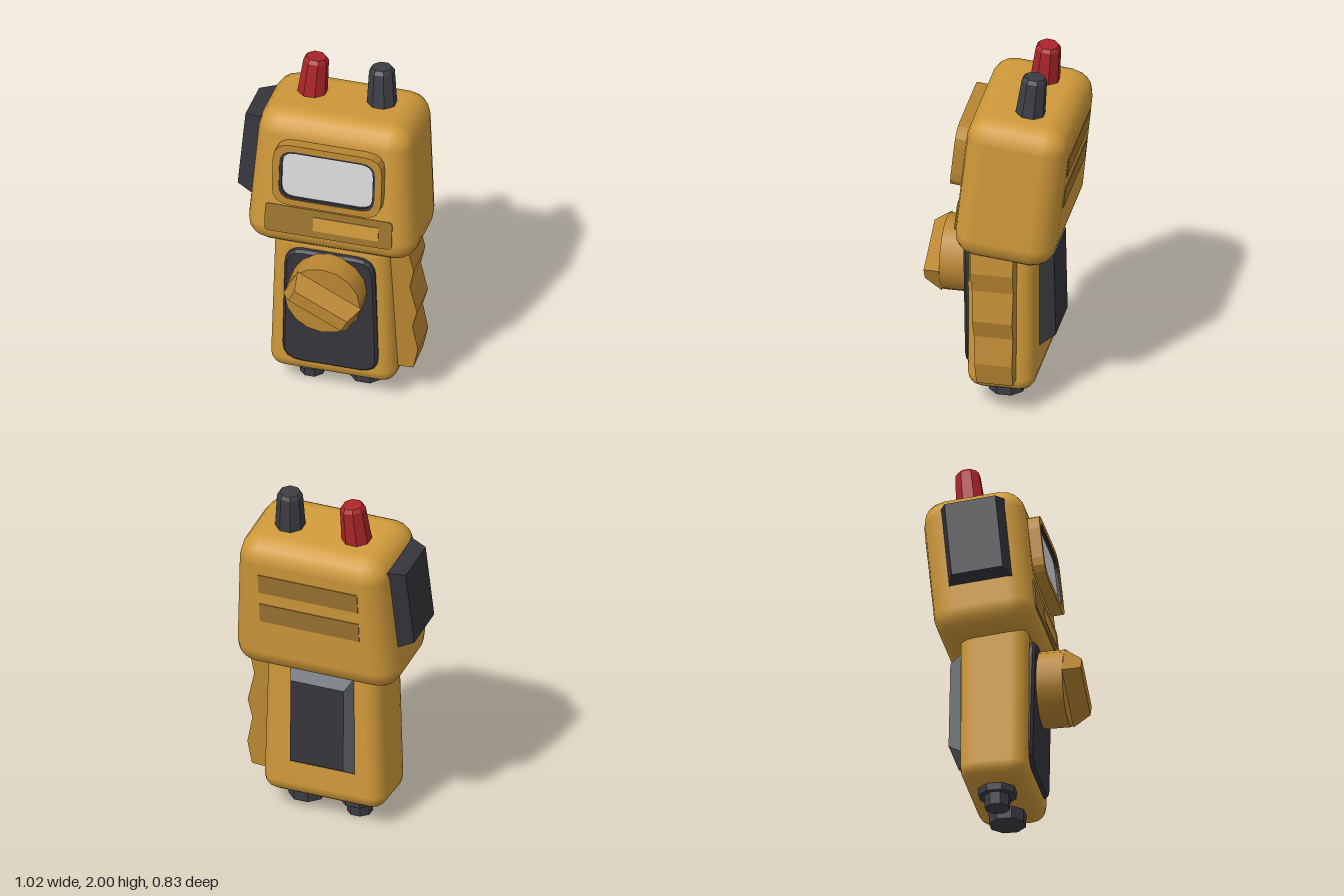
import * as THREE from 'three';
import { RoundedBoxGeometry } from 'three/addons/geometries/RoundedBoxGeometry.js';

const mat = (name, color) => Object.assign(new THREE.MeshStandardMaterial({ color }), { name });

// Move every vertex of a geometry by a rule
function reshape(geo, rule) {
  const p = geo.attributes.position;
  const v = new THREE.Vector3();
  for (let i = 0; i < p.count; i++) {
    rule(v.fromBufferAttribute(p, i));
    p.setXYZ(i, v.x, v.y, v.z);
  }
  return geo;
}

// Block from z = 0 to z = d whose front face shrinks to w2 x h2
function frustum(w, h, d, w2, h2) {
  const geo = new THREE.BoxGeometry(w, h, d).translate(0, 0, d / 2);
  reshape(geo, v => { if (v.z > d / 2) { v.x *= w2 / w; v.y *= h2 / h; } });
  const flat = geo.toNonIndexed();
  flat.computeVertexNormals();
  for (let i = 0; i < 6; i++) flat.addGroup(i * 6, 6, i === 4 ? 1 : 0);
  return flat;
}

function roundRect(w, h, r, Type = THREE.Shape) {
  const s = new Type(), x = w / 2, y = h / 2;
  s.moveTo(-x + r, -y);
  s.lineTo(x - r, -y); s.quadraticCurveTo(x, -y, x, -y + r);
  s.lineTo(x, y - r); s.quadraticCurveTo(x, y, x - r, y);
  s.lineTo(-x + r, y); s.quadraticCurveTo(-x, y, -x, y - r);
  s.lineTo(-x, -y + r); s.quadraticCurveTo(-x, -y, -x + r, -y);
  return s;
}

function slab(shape, depth, bevel = 0, holes = []) {
  shape.holes = holes;
  return new THREE.ExtrudeGeometry(shape, {
    depth, curveSegments: 4, bevelEnabled: bevel > 0,
    bevelSize: bevel, bevelThickness: bevel, bevelSegments: 1,
  });
}

export function createModel() {
  const amber = mat('amber', 0xd09a3a);
  const trim = mat('darkAmber', 0xba8732);
  const brown = mat('brown', 0x9c742f);
  const charcoal = mat('charcoal', 0x3d3e44);
  const black = mat('black', 0x35353b);
  const grey = mat('grey', 0x686f72);
  const red = mat('red', 0xab2529);
  const glass = mat('screenGrey', 0xd8d8d8);
  for (const m of [charcoal, red]) m.flatShading = true;

  const model = new THREE.Group();
  const add = (parent, name, geo, material, x = 0, y = 0, z = 0) => {
    const mesh = new THREE.Mesh(geo, material);
    mesh.name = name;
    mesh.position.set(x, y, z);
    parent.add(mesh);
    return mesh;
  };

  // Handle body, slightly wider at the foot
  const bodyGeo = new RoundedBoxGeometry(0.685, 0.94, 0.375, 2, 0.085);
  add(model, 'body', reshape(bodyGeo, v => { v.x *= 1 - 0.09 * v.y; }), amber, 0.03, 0.58, -0.03);

  // Dark panel on the front of the handle
  const panelGeo = slab(roundRect(0.49, 0.73, 0.09), 0.03, 0.015);
  reshape(panelGeo, v => { v.x *= 1 - 0.1 * v.y; });
  panelGeo.computeVertexNormals();
  add(model, 'frontPanel', panelGeo, black, 0.03, 0.58, 0.138).rotation.x = 0.02;

  // Rotary knob with a tapered finger bar
  const knob = new THREE.Group();
  knob.name = 'knob';
  knob.position.set(0.03, 0.755, 0.18);
  model.add(knob);
  add(knob, 'knobBase', new THREE.CylinderGeometry(0.21, 0.21, 0.15, 16).rotateX(Math.PI / 2), trim, 0, 0, 0.075);
  add(knob, 'knobBar', frustum(0.4, 0.18, 0.095, 0.33, 0.075), trim, 0, 0, 0.149).rotation.z = -0.47;

  // Wavy finger grip on the left side
  const wave = [[0.3, 0.2], [0.47, 0.21], [0.497, 0.34], [0.468, 0.495], [0.495, 0.6],
    [0.457, 0.77], [0.481, 0.885], [0.455, 1.0], [0.3, 1.0]];
  const gripShape = new THREE.Shape(wave.map(([x, y]) => new THREE.Vector2(x, y)));
  const gripGeo = slab(gripShape, 0.24).translate(0, 0, -0.125);
  reshape(gripGeo, v => { if (v.z > 0) v.z = 0.065 + 0.05 * v.y; });
  gripGeo.computeVertexNormals();
  add(model, 'fingerGrip', gripGeo, trim);

  // Raised plate on the back of the handle
  add(model, 'backPlate', frustum(0.38, 0.6, 0.085, 0.31, 0.49), [grey, black], 0.02, 0.63, -0.21)
    .rotation.set(0.02, Math.PI, 0);

  // Octagonal sockets underneath
  const socket = (name, x, r, y0, y1) => add(model, name,
    new THREE.CylinderGeometry(r, r * 0.96, y1 - y0, 8).rotateY(Math.PI / 8), charcoal, x, (y0 + y1) / 2, -0.035);
  socket('rightSocket', -0.12, 0.11, 0.07, 0.16);
  socket('rightSocketTip', -0.123, 0.073, 0, 0.08);
  socket('leftSocket', 0.183, 0.106, 0.04, 0.16);

  // Head, leaning back and narrowing upwards
  const head = new THREE.Group();
  head.name = 'head';
  head.position.set(0.03, 1.365, -0.0975);
  head.rotation.x = -0.105;
  model.add(head);
  const headGeo = new RoundedBoxGeometry(0.91, 0.835, 0.56, 2, 0.13);
  add(head, 'headShell', reshape(headGeo, v => { v.x *= 1 - 0.15 * v.y; }), amber);

  // Screen with dark bezel in a raised frame
  const opening = () => roundRect(0.535, 0.3, 0.08, THREE.Path);
  add(head, 'screenFrame', slab(roundRect(0.61, 0.375, 0.1), 0.085, 0, [opening()]), trim, 0, 0.093, 0.26);
  add(head, 'screenBezel',
    slab(roundRect(0.535, 0.3, 0.08), 0.08, 0, [roundRect(0.508, 0.275, 0.07, THREE.Path)]), black, 0, 0.093, 0.26);
  add(head, 'screen', slab(roundRect(0.515, 0.282, 0.07), 0.065), glass, 0, 0.093, 0.26);

  // Label strip under the screen and vent stripes on the back
  add(head, 'labelStrip', slab(roundRect(0.71, 0.17, 0.025), 0.008), brown, 0, -0.225, 0.276);
  add(head, 'labelPlate', new THREE.BoxGeometry(0.365, 0.085, 0.008), amber, 0.098, -0.225, 0.284);
  for (const y of [0.17, -0.02])
    add(head, 'backStripe', new THREE.BoxGeometry(0.58, 0.115, 0.009), brown, 0, y, -0.28);

  // Tapered box on the right side
  const sideBox = add(head, 'sideBox', frustum(0.37, 0.5, 0.12, 0.28, 0.44), black, -0.41, 0.085, 0.01);
  sideBox.rotation.set(0, -Math.PI / 2, -0.07, 'ZYX');

  // Octagonal plugs on top
  const profile = [[0.086, 0], [0.07, 0.255], [0.055, 0.275], [0, 0.275]].map(([r, y]) => new THREE.Vector2(r, y));
  for (const [name, x, m, lean] of [['redPlug', -0.195, red, -0.07], ['darkPlug', 0.198, charcoal, 0.03]]) {
    const plug = add(head, name, new THREE.LatheGeometry(profile, 8, Math.PI / 8), m, x, 0.36, -0.03);
    plug.rotation.z = lean;
  }

  return model;
}
